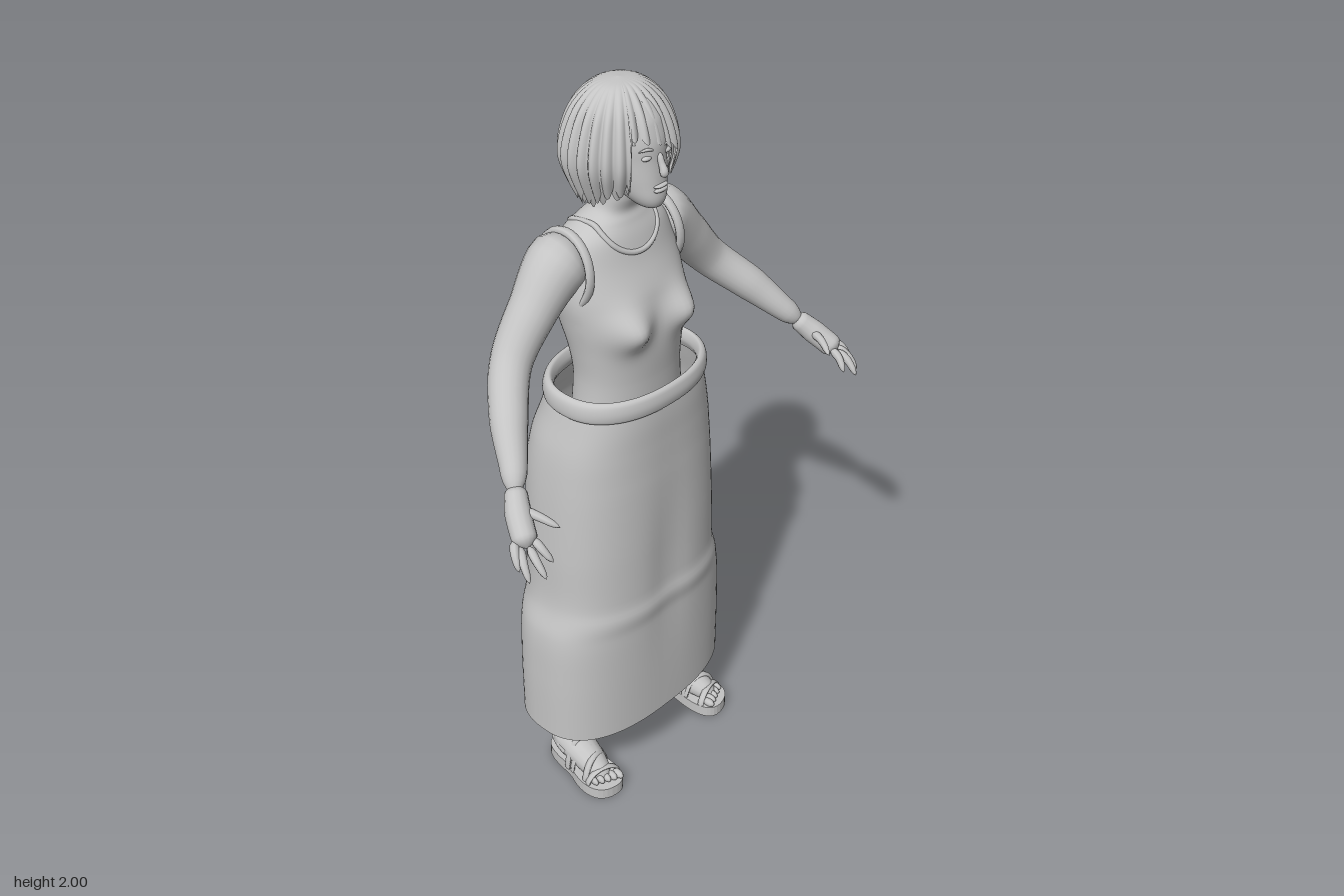
import * as THREE from 'three';
import { mergeVertices } from 'three/addons/utils/BufferGeometryUtils.js';

const clay = new THREE.MeshStandardMaterial({ color: 0xc4c4c4, side: THREE.DoubleSide });
clay.name = 'pale grey';
const V = (x, y, z) => new THREE.Vector3(x, y, z);

function add(parent, name, geo, pos, scale) {
  const m = new THREE.Mesh(geo, clay);
  m.name = name;
  if (pos) m.position.set(...pos);
  if (scale) m.scale.set(...scale);
  parent.add(m);
  return m;
}

// Surface from a grid function f(u, v), closed around u
function sheet(f, nu, nv) {
  const pos = [], idx = [];
  for (let j = 0; j <= nv; j++)
    for (let i = 0; i < nu; i++) pos.push(...f(i / nu * Math.PI * 2, j / nv));
  for (let j = 0; j < nv; j++)
    for (let i = 0; i < nu; i++) {
      const k = (i + 1) % nu, a = j * nu + i, b = j * nu + k;
      idx.push(a, a + nu, b, b, a + nu, b + nu);
    }
  const g = new THREE.BufferGeometry();
  g.setAttribute('position', new THREE.Float32BufferAttribute(pos, 3));
  g.setIndex(idx);
  g.computeVertexNormals();
  return g;
}

// Smooth loft through rings of [y, half width, front z, back z]
function loft(rings, power, nu, nv, shape = p => p) {
  const a = new THREE.CatmullRomCurve3(rings.map(r => V(r[0], r[1], 0)));
  const b = new THREE.CatmullRomCurve3(rings.map(r => V(r[2], r[3], 0)));
  const e = c => Math.sign(c) * Math.abs(c) ** (2 / power);
  return sheet((u, v) => {
    const s = a.getPoint(v), d = b.getPoint(v);
    return shape([s.y * e(Math.cos(u)), s.x, (d.x + d.y) / 2 + (d.x - d.y) / 2 * e(Math.sin(u))]);
  }, nu, nv);
}

// Tube with a changing radius and rounded ends, from points of [x, y, z, radius]
function limb(points, seg = 24, sides = 14) {
  const curve = new THREE.CatmullRomCurve3(points.map(p => V(p[0], p[1], p[2])));
  const g = new THREE.TubeGeometry(curve, seg, 1, sides);
  const at = g.attributes.position, q = V(0, 0, 0), last = points.length - 1;
  for (let i = 0; i <= seg; i++) {
    const u = i / seg, c = curve.getPointAt(u), t = curve.getUtoTmapping(u) * last;
    const k = Math.min(last - 1, Math.floor(t));
    const cap = Math.sqrt(Math.min(1, Math.min(u, 1 - u) * seg / 2.5));
    const r = THREE.MathUtils.lerp(points[k][3], points[k + 1][3], t - k) * Math.max(cap, 0.02);
    for (let j = 0; j <= sides; j++) {
      const n = i * (sides + 1) + j;
      q.fromBufferAttribute(at, n).sub(c).multiplyScalar(r).add(c);
      at.setXYZ(n, q.x, q.y, q.z);
    }
  }
  g.deleteAttribute('uv');
  g.deleteAttribute('normal');
  const m = mergeVertices(g, 1e-5);
  m.computeVertexNormals();
  return m;
}

const TORSO = [[1.12, .165, .06, -.15], [1.27, .15, .062, -.147], [1.35, .157, .066, -.16],
  [1.43, .17, .06, -.185], [1.5, .18, .045, -.2], [1.57, .175, .015, -.197], [1.63, .15, -.005, -.175],
  [1.665, .1, -.02, -.152], [1.69, .064, -.028, -.133], [1.72, .053, -.02, -.125], [1.8, .052, -.01, -.12]];

function torsoZ(x, y, front) {
  const k = TORSO.findIndex(r => r[0] > y), a = TORSO[k - 1], b = TORSO[k];
  const [w, f, z] = [1, 2, 3].map(i => THREE.MathUtils.mapLinear(y, a[0], b[0], a[i], b[i]));
  const s = Math.sqrt(Math.max(0, 1 - (x / w) ** 2));
  return (f + z) / 2 + (front ? 1 : -1) * (f - z) / 2 * s;
}

function makeHair(lift, spread, locks) {
  const profile = new THREE.CatmullRomCurve3([[0, 2], [.06, 1.99], [.108, 1.95], [.137, 1.89],
    [.146, 1.83], [.127, 1.77], [.1, 1.715]].map(p => V(p[0], p[1], 0)));
  return sheet((u, v) => {
    const ridge = Math.abs(Math.sin(u * locks / 2));
    const d = u - Math.PI / 2, off = Math.abs(Math.atan2(Math.sin(d), Math.cos(d)));
    // short fringe over the face, longer at the sides and back
    let end = off < .52 ? .55 - .16 * d : THREE.MathUtils.lerp(.84, 1, Math.min(1, (off - .52) / 1.6));
    end *= .9 + .1 * ridge + .02 * Math.sin(u * 7);
    const p = profile.getPoint(v * end);
    const r = p.x * spread * (1 - .1 * Math.min(1, v * 2) * (1 - ridge));
    return [r * Math.cos(u), p.y + lift, -.065 + .91 * r * Math.sin(u)];
  }, locks * 8, 24);
}

function makeArm() {
  const g = new THREE.Group();
  add(g, 'arm', limb([[.11, 1.6, -.1, .07], [.17, 1.585, -.1, .077], [.25, 1.51, -.095, .06],
    [.34, 1.405, -.083, .05], [.42, 1.32, -.01, .045], [.475, 1.25, .06, .032], [.51, 1.207, .1, .025]], 36, 20));
  add(g, 'palm', limb([[.495, 1.225, .085, .025], [.525, 1.185, .125, .031], [.548, 1.15, .168, .03],
    [.555, 1.135, .185, .02]]));
  const fingers = [[.568, 1.15, .155, .597, 1.1, .2], [.565, 1.14, .17, .592, 1.08, .228],
    [.552, 1.14, .185, .56, 1.085, .25], [.535, 1.15, .18, .525, 1.105, .235], [.515, 1.19, .125, .482, 1.168, .215]];
  for (const [a, b, c, d, e, f] of fingers)
    add(g, 'finger', limb([[a, b, c, .012], [(a + d) / 2 + .004, (b + e) / 2 + .007, (c + f) / 2, .0105],
      [d, e, f, .007]], 12, 8));
  return g;
}

function makeLeg() {
  const g = new THREE.Group();
  add(g, 'leg', limb([[.1, 1.12, -.07, .09], [.13, .85, -.06, .085], [.17, .55, -.06, .06],
    [.195, .38, -.085, .055], [.205, .2, -.085, .037], [.206, .1, -.085, .036], [.206, .06, -.085, .035]], 30, 18));
  const foot = new THREE.Group();
  foot.name = 'sandalledFoot';
  foot.position.x = .214;
  foot.rotation.y = .1;
  g.add(foot);
  add(foot, 'foot', limb([[0, .075, -.125, .03], [0, .08, -.08, .042], [0, .076, -.03, .045],
    [0, .058, .03, .037], [0, .045, .075, .024], [0, .042, .09, .02]], 24, 16), null, [1.08, 1, 1]);
  for (let i = 0; i < 5; i++)
    add(foot, 'toe', new THREE.SphereGeometry(1, 10, 8), [-.034 + i * .017, .045, .095 - i * .006],
      [.011 - i * .0007, .012, .02]);
  // sole
  const sole = new THREE.Shape();
  sole.moveTo(0, -.14);
  sole.bezierCurveTo(.06, -.14, .04, -.05, .048, -.01);
  sole.bezierCurveTo(.066, .05, .062, .12, -.01, .12);
  sole.bezierCurveTo(-.064, .12, -.06, .05, -.047, -.01);
  sole.bezierCurveTo(-.04, -.05, -.06, -.14, 0, -.14);
  const sg = new THREE.ExtrudeGeometry(sole, { depth: .035, bevelEnabled: false, curveSegments: 12 });
  sg.rotateX(Math.PI / 2).translate(0, .035, 0);
  add(foot, 'sole', sg);
  // straps: z, height, half width, sideways slant
  for (const [z, h, w, slant] of [[.07, .046, .05, .15], [.035, .07, .049, -.3], [.005, .08, .049, .25], [-.025, .1, .05, 0]]) {
    const s = add(foot, 'strap', new THREE.TorusGeometry(1, .1, 6, 20, Math.PI), [0, .028, z], [w, h * .92, .1]);
    s.rotation.y = slant;
  }
  add(foot, 'heelStrap', new THREE.TorusGeometry(1, .1, 6, 24, Math.PI).rotateX(-Math.PI / 2),
    [0, .075, -.04], [.046, .1, .092]);
  return g;
}

export function createModel() {
  const model = new THREE.Group();
  model.name = 'woman';

  // torso and neck
  add(model, 'torso', loft(TORSO, 2.15, 72, 70, p => {
    if (p[2] > -.04) p[2] += .048 * Math.exp(-(((Math.abs(p[0]) - .088) / .05) ** 2) - ((p[1] - 1.43) / .05) ** 2);
    // hollow along the spine
    else p[2] += .014 * Math.exp(-((p[0] / .035) ** 2) - ((p[1] - 1.45) / .13) ** 2);
    return p;
  }));
  const neck = [];
  for (let i = 0; i < 32; i++) {
    const a = i / 16 * Math.PI, s = Math.sin(a);
    const x = .088 * Math.cos(a), y = 1.668 - (s > 0 ? .073 : .045) * Math.abs(s);
    neck.push(V(x, y, torsoZ(x, y, s > 0)));
  }
  add(model, 'neckline', new THREE.TubeGeometry(new THREE.CatmullRomCurve3(neck, true), 80, .007, 8, true));

  // skirt
  add(model, 'skirt', loft([[.2, .315, .115, -.255], [.4, .313, .115, -.255], [.54, .304, .115, -.255],
    [.63, .278, .115, -.255], [.8, .27, .113, -.255], [1, .256, .108, -.253], [1.1, .242, .105, -.238],
    [1.18, .22, .104, -.212], [1.235, .205, .1, -.198]], 2.5, 80, 60, p => {
    // knees pressing softly against the cloth
    if (p[2] > 0) p[2] -= .012 * Math.exp(-((p[0] / .06) ** 2) - ((p[1] - .7) / .25) ** 2);
    return p;
  }));
  add(model, 'waistband', loft([[1.215, .205, .098, -.19], [1.213, .22, .11, -.205], [1.235, .224, .114, -.21],
    [1.26, .218, .109, -.205], [1.266, .205, .098, -.192], [1.24, .196, .088, -.182], [1.215, .205, .098, -.19]],
  2.3, 72, 24));

  // head and face
  add(model, 'head', loft([[1.722, .004, .045, .035], [1.726, .025, .06, .0], [1.745, .043, .068, -.04],
    [1.78, .06, .066, -.1], [1.84, .071, .061, -.14], [1.88, .074, .06, -.15], [1.93, .07, .045, -.15],
    [1.97, .045, .01, -.12], [1.98, .004, -.05, -.07]], 2.15, 48, 40));
  add(model, 'nose', limb([[0, 1.86, .057, .007], [0, 1.835, .067, .008], [0, 1.814, .075, .011],
    [0, 1.805, .066, .009]], 14, 10));
  for (const [y, r] of [[1.781, .005], [1.771, .006]])
    add(model, 'lip', new THREE.SphereGeometry(1, 14, 8), [0, y, .065], [.022, r, .009]);

  // left and right sides
  for (const s of [1, -1]) {
    const half = new THREE.Group();
    half.name = s > 0 ? 'leftSide' : 'rightSide';
    half.scale.x = s;
    half.add(makeArm(), makeLeg());
    add(half, 'eye', new THREE.SphereGeometry(1, 12, 8), [.031, 1.852, .051], [.015, .006, .008]);
    add(half, 'eyebrow', limb([[.014, 1.868, .058, .003], [.032, 1.874, .054, .004], [.05, 1.868, .042, .002]], 10, 6));
    // armhole edge
    const hole = add(half, 'armhole', new THREE.TorusGeometry(1, .1, 8, 40).rotateY(Math.PI / 2),
      [.152, 1.565, -.095], [.13, .096, .084]);
    hole.rotation.z = .08;
    model.add(half);
  }

  // bobbed hair, with a shorter layer at the nape
  add(model, 'hair', makeHair(0, 1, 26));
  add(model, 'hairUnderLayer', makeHair(-.012, .9, 20));
  return model;
}
